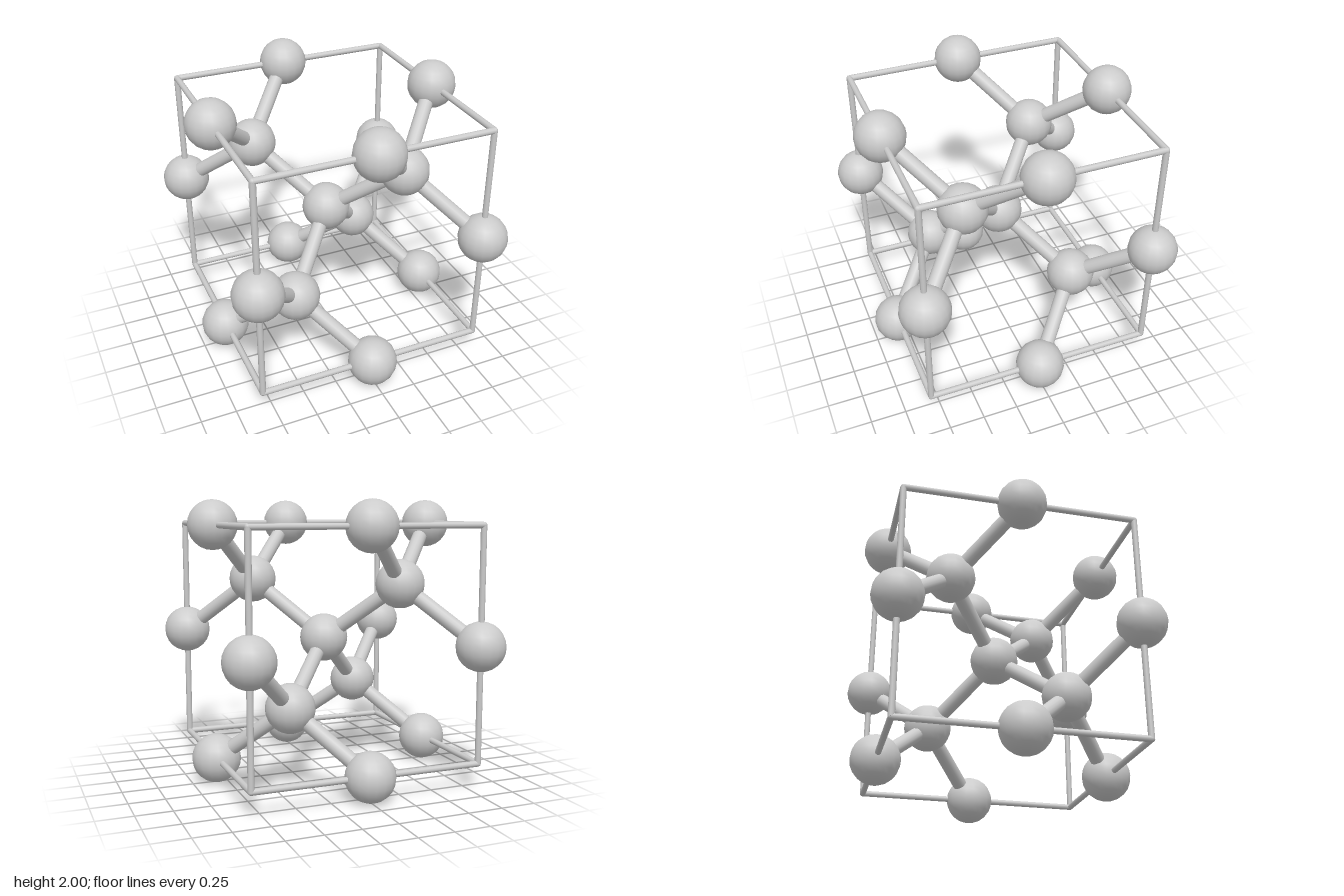
import * as THREE from 'three';

const H = 0.826;        // half the cell edge
const ATOM_R = 0.174;
const BOND_R = 0.053;
const ROD_R = 0.022;

export function createModel() {
  const model = new THREE.Group();
  const lattice = new THREE.Group();
  lattice.position.y = 1;
  model.add(lattice);

  const material = new THREE.MeshStandardMaterial({ color: 0xcccccc });
  const atomGeometry = new THREE.SphereGeometry(ATOM_R, 18, 12);
  const jointGeometry = new THREE.SphereGeometry(ROD_R, 10, 8);
  const up = new THREE.Vector3(0, 1, 0);

  function group(name) {
    const g = new THREE.Group();
    g.name = name;
    lattice.add(g);
    return g;
  }

  function ball(parent, name, geometry, position) {
    const mesh = new THREE.Mesh(geometry, material);
    mesh.name = name;
    mesh.position.copy(position);
    parent.add(mesh);
  }

  // Straight cylinder between two points
  function rod(parent, name, a, b, radius, sides) {
    const dir = b.clone().sub(a);
    const geometry = new THREE.CylinderGeometry(radius, radius, dir.length(), sides);
    const mesh = new THREE.Mesh(geometry, material);
    mesh.name = name;
    mesh.position.copy(a).add(b).multiplyScalar(0.5);
    mesh.quaternion.setFromUnitVectors(up, dir.normalize());
    parent.add(mesh);
  }

  const atoms = group('atoms');
  const bonds = group('bonds');
  const frame = group('cellFrame');

  // Cell edges along each axis, with an atom at every edge midpoint
  for (let axis = 0; axis < 3; axis++) {
    for (const s of [-1, 1]) {
      for (const t of [-1, 1]) {
        const mid = new THREE.Vector3();
        mid.setComponent((axis + 1) % 3, s * H);
        mid.setComponent((axis + 2) % 3, t * H);
        const start = mid.clone().setComponent(axis, -H);
        const end = mid.clone().setComponent(axis, H);
        rod(frame, 'edgeRod', start, end, ROD_R, 10);
        ball(atoms, 'edgeAtom', atomGeometry, mid);
      }
    }
  }

  // Rounded joints at the cell corners
  for (const x of [-H, H]) for (const y of [-H, H]) for (const z of [-H, H]) {
    ball(frame, 'cornerJoint', jointGeometry, new THREE.Vector3(x, y, z));
  }

  // Centre atom and four inner atoms, each with four tetrahedral bonds
  ball(atoms, 'centreAtom', atomGeometry, new THREE.Vector3());
  const tetra = [[1, 1, 1], [-1, 1, -1], [-1, -1, 1], [1, -1, -1]]
    .map((d) => new THREE.Vector3(...d).multiplyScalar(H / 2));
  for (const inner of tetra) {
    ball(atoms, 'innerAtom', atomGeometry, inner);
    for (const d of tetra) rod(bonds, 'bond', inner, inner.clone().sub(d), BOND_R, 16);
  }

  return model;
}
